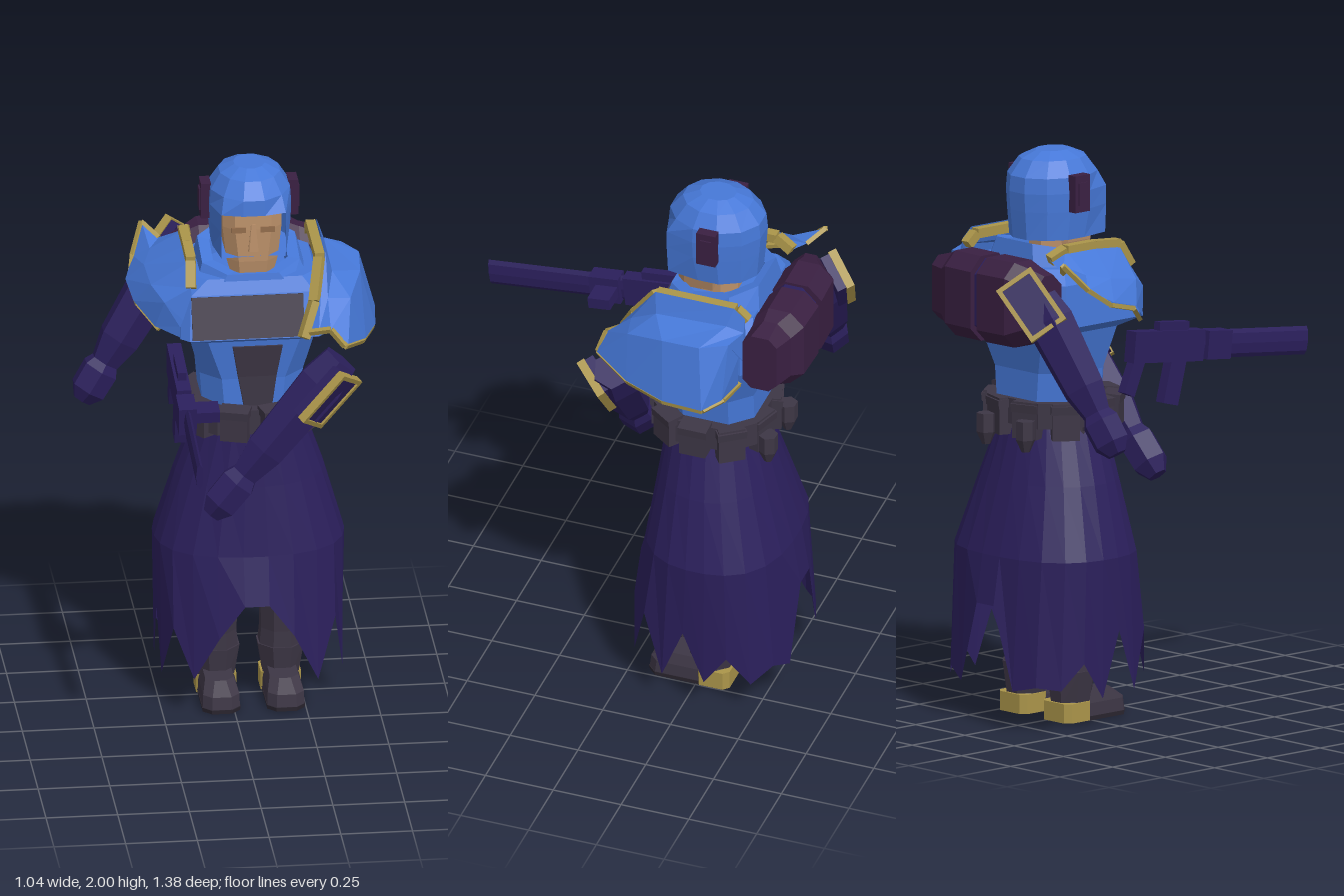
import * as THREE from 'three';

const mat = (name, color) => new THREE.MeshStandardMaterial({ name, color, flatShading: true, side: THREE.DoubleSide });
const V = (p) => new THREE.Vector3(...p);
const UP = new THREE.Vector3(0, 1, 0);

// Skin rows of points with flat faces; closed rows form a tube with end caps.
function loft(rows, { closed = true, caps = closed, skip = () => false } = {}) {
  const pos = [], n = rows[0].length;
  const tri = (...pts) => pts.forEach((p) => pos.push(...p));
  for (let r = 0; r < rows.length - 1; r++) {
    for (let i = 0; i < (closed ? n : n - 1); i++) {
      if (skip(r, i)) continue;
      const j = (i + 1) % n, a = rows[r], b = rows[r + 1];
      tri(a[i], a[j], b[j], a[i], b[j], b[i]);
    }
  }
  if (caps) {
    const a = rows[0], b = rows[rows.length - 1];
    for (let i = 1; i < n - 1; i++) tri(a[0], a[i + 1], a[i], b[0], b[i], b[i + 1]);
  }
  const g = new THREE.BufferGeometry();
  g.setAttribute('position', new THREE.Float32BufferAttribute(pos, 3));
  g.computeVertexNormals();
  return g;
}

// Elliptical ring, counter-clockwise seen from above, half a step off the front; square pushes out the diagonals.
const ring = (y, cx, cz, rx, rz, n, square = 0) => Array.from({ length: n }, (_, i) => {
  const a = (i + 0.5) / n * Math.PI * 2, k = 1 + square * Math.sin(2 * a) ** 2;
  return [cx + k * rx * Math.sin(a), y, cz + k * rz * Math.cos(a)];
});
// Rectangle with cut corners.
const rect = (y, x0, x1, z0, z1, c) => [
  [x0 + c, y, z1], [x1 - c, y, z1], [x1, y, z1 - c], [x1, y, z0 + c],
  [x1 - c, y, z0], [x0 + c, y, z0], [x0, y, z0 + c], [x0, y, z1 - c]];
const shift = (pts, dx, dy, dz) => pts.map(([x, y, z]) => [x + dx, y + dy, z + dz]);

export function createModel() {
  const blue = mat('armourBlue', 0x4678d8), purple = mat('clothPurple', 0x2b1f5c), dark = mat('darkGrey', 0x3d3645);
  const maroon = mat('packMaroon', 0x3a2042), gold = mat('trimGold', 0xab954a), skin = mat('skin', 0xbb9069);
  const shade = mat('eyeBrown', 0x946d4c), sole = mat('soleDark', 0x2b2630);
  const root = new THREE.Group();
  const add = (name, geo, m, parent = root) => {
    const mesh = new THREE.Mesh(geo, m);
    mesh.name = name;
    parent.add(mesh);
    return mesh;
  };
  const box = (name, size, at, m, parent = root) => {
    const b = add(name, new THREE.BoxGeometry(...size), m, parent);
    b.position.set(...at);
    return b;
  };
  // Tapered limb from a to b; profile holds [fraction, radius] pairs.
  const limb = (name, a, b, profile, m, n = 6) => {
    const d = V(b).sub(V(a)), len = d.length();
    const mesh = add(name, loft(profile.map(([t, r]) => ring(t * len, 0, 0, r, r, n))), m);
    mesh.position.copy(V(a));
    mesh.quaternion.setFromUnitVectors(UP, d.normalize());
  };
  // Square trim following a line of points.
  const trim = (name, pts, r) => {
    for (let i = 0; i < pts.length - 1; i++) limb(name, pts[i], pts[i + 1], [[0, r], [1, r]], gold, 4);
  };

  // Legs, boots and gold heels
  for (const [side, x] of [['right', -0.045], ['left', 0.18]]) {
    add(side + 'Leg', loft([ring(0.16, x, -0.29, 0.083, 0.085, 8), ring(0.24, x, -0.285, 0.075, 0.08, 8),
      ring(0.45, x, -0.27, 0.083, 0.09, 8), ring(1.05, x, -0.27, 0.09, 0.1, 8)]), dark);
    add(side + 'Ankle', loft([ring(0.06, x, -0.29, 0.066, 0.075, 8), ring(0.18, x, -0.29, 0.087, 0.09, 8)]), dark);
    add(side + 'Boot', loft([rect(0.015, x - 0.065, x + 0.065, -0.36, -0.07, 0.03),
      rect(0.06, x - 0.063, x + 0.063, -0.36, -0.075, 0.03), rect(0.1, x - 0.05, x + 0.05, -0.34, -0.13, 0.03)]), dark);
    add(side + 'Sole', loft([rect(0, x - 0.065, x + 0.065, -0.36, -0.07, 0.03), rect(0.015, x - 0.067, x + 0.067, -0.36, -0.068, 0.03)]), sole);
    add(side + 'Heel', loft([rect(0.002, x - 0.07, x + 0.07, -0.37, -0.245, 0.02), rect(0.07, x - 0.07, x + 0.07, -0.37, -0.245, 0.02)]), gold);
  }

  // Ragged long skirt, open at front and back; hem heights run from the front round both sides
  const half = [0.43, 0.31, 0.13, 0.34, 0.12, 0.32, 0.13, 0.24, 0.13, 0.18, 0.14, 0.43];
  const hem = [...half, ...half.map((h, i) => h + (i % 3 - 1) * 0.02 * (i > 0 && i < 11)).reverse()];
  const hemRing = ring(0, 0.07, -0.295, 0.325, 0.295, 24, 0.1).map(([x, , z], i) => [x, hem[i], z]);
  add('skirt', loft([ring(1.06, 0.07, -0.27, 0.19, 0.17, 24), ring(0.85, 0.07, -0.285, 0.262, 0.21, 24, 0.03),
    ring(0.6, 0.07, -0.303, 0.333, 0.26, 24, 0.07), hemRing], { caps: false }), purple);

  // Belt with pouches
  add('belt', loft([rect(1.05, -0.14, 0.28, -0.46, -0.08, 0.08), rect(1.14, -0.14, 0.28, -0.46, -0.08, 0.08)]), dark);
  for (let i = 0; i < 10; i++) {
    const a = (i + 0.5) / 10 * Math.PI * 2;
    const rear = Math.cos(a) < -0.5;
    const p = box('pouch', [0.095, rear ? 0.13 : 0.11, 0.055],
      [0.07 + 0.225 * Math.sin(a), rear ? 1.075 : 1.09, -0.265 + 0.195 * Math.cos(a)], dark);
    p.rotation.y = a;
    const flap = box('pouchFlap', [0.105, 0.03, 0.065], [0, 0.045, 0], dark, p);
    flap.rotation.x = 0.1;
  }
  for (const x of [-0.03, 0.17]) limb('hangingPouch', [x, 1.08, -0.49], [x, 0.97, -0.49], [[0, 0.035], [0.6, 0.035], [1, 0.015]], dark);

  // Torso armour
  add('torso', loft([rect(1.12, -0.1, 0.24, -0.44, -0.13, 0.07), rect(1.24, -0.11, 0.25, -0.44, -0.13, 0.07),
    rect(1.39, -0.15, 0.29, -0.47, -0.11, 0.06), rect(1.42, -0.19, 0.32, -0.47, -0.055, 0.03),
    rect(1.57, -0.18, 0.31, -0.47, -0.105, 0.03), rect(1.62, -0.14, 0.29, -0.46, -0.13, 0.05)]), blue);
  box('chestPanel', [0.39, 0.15, 0.009], [0.045, 1.495, -0.078], dark).rotation.x = -0.32;
  add('bellyPanel', loft([rect(1.14, 0.035, 0.135, -0.135, -0.122, 0.002), rect(1.25, 0.015, 0.15, -0.135, -0.122, 0.002),
    rect(1.37, -0.005, 0.17, -0.12, -0.105, 0.002)]), dark);
  // Collar rising towards the back
  const slope = (pts) => pts.map(([x, y, z]) => [x, y + (-0.13 - z) * 0.2, z]);
  add('collar', loft([rect(1.58, -0.12, 0.27, -0.47, -0.12, 0.07), slope(rect(1.635, -0.1, 0.24, -0.45, -0.13, 0.08)),
    slope(rect(1.63, -0.06, 0.2, -0.42, -0.16, 0.07)), rect(1.58, -0.05, 0.19, -0.4, -0.17, 0.06)], { caps: false }), blue);

  // Head: neck, face, helmet with an open front and cheek guards, ear pieces
  add('neck', loft([ring(1.56, 0.07, -0.27, 0.08, 0.09, 8), ring(1.72, 0.07, -0.27, 0.08, 0.09, 8)]), skin);
  add('face', loft([rect(1.61, 0.0, 0.14, -0.3, -0.145, 0.025), rect(1.68, -0.02, 0.16, -0.32, -0.135, 0.04),
    rect(1.8, -0.033, 0.173, -0.34, -0.135, 0.04), rect(1.89, -0.033, 0.173, -0.34, -0.14, 0.04)]), skin);
  add('nose', loft([rect(1.72, 0.052, 0.088, -0.14, -0.125, 0.004), rect(1.82, 0.062, 0.078, -0.14, -0.132, 0.002)]), skin);
  for (const s of [-1, 1]) {
    box('eye', [0.05, 0.02, 0.006], [0.07 + s * 0.05, 1.8, -0.134], shade);
    box('earPiece', [0.035, 0.13, 0.07], [0.07 + s * 0.152, 1.865, -0.285], maroon);
    box('earHub', [0.01, 0.08, 0.04], [0.07 + s * 0.17, 1.865, -0.285], maroon);
  }
  const cheeks = (pts, z) => pts.map((p, i) => (i === 1 || i === 10 ? [0.07 + (i === 1 ? 0.112 : -0.112), p[1], z] : p));
  const front = (i) => i === 10 || i === 11 || i === 0;
  add('helmet', loft([cheeks(ring(1.7, 0.07, -0.28, 0.135, 0.15, 12), -0.125), cheeks(ring(1.8, 0.07, -0.27, 0.145, 0.17, 12), -0.12),
    cheeks(ring(1.865, 0.07, -0.27, 0.147, 0.175, 12), -0.12), ring(1.92, 0.07, -0.27, 0.143, 0.17, 12),
    ring(1.975, 0.07, -0.27, 0.108, 0.125, 12), ring(2, 0.07, -0.27, 0.055, 0.065, 12)],
    { caps: true, skip: (r, i) => r < 2 && front(i) }), blue);

  // Shoulder guards: rows from inner edge to outer rim, each from back to front
  const left = [
    [[0.31, 1.45, -0.46], [0.322, 1.67, -0.46], [0.322, 1.705, -0.42], [0.322, 1.705, -0.13], [0.295, 1.58, -0.04], [0.25, 1.47, 0.02]],
    [[0.34, 1.5, -0.46], [0.335, 1.62, -0.46], [0.345, 1.64, -0.4], [0.345, 1.63, -0.14], [0.32, 1.57, -0.04], [0.28, 1.48, 0.035]],
    [[0.36, 1.53, -0.45], [0.41, 1.61, -0.43], [0.46, 1.61, -0.34], [0.45, 1.6, -0.2], [0.4, 1.56, -0.055], [0.32, 1.49, 0.05]],
    [[0.34, 1.4, -0.44], [0.45, 1.4, -0.42], [0.52, 1.39, -0.37], [0.505, 1.385, -0.22], [0.455, 1.4, -0.07], [0.38, 1.44, 0.065]]];
  const right = [
    [[-0.13, 1.66, -0.47], [-0.145, 1.69, -0.41], [-0.145, 1.69, -0.28], [-0.145, 1.68, -0.16], [-0.15, 1.6, -0.11], [-0.14, 1.45, -0.08]],
    [[-0.22, 1.63, -0.49], [-0.26, 1.62, -0.42], [-0.29, 1.6, -0.33], [-0.28, 1.58, -0.2], [-0.24, 1.54, -0.13], [-0.19, 1.46, -0.1]],
    [[-0.275, 1.67, -0.54], [-0.315, 1.58, -0.46], [-0.35, 1.53, -0.37], [-0.335, 1.5, -0.25], [-0.27, 1.44, -0.16], [-0.19, 1.42, -0.1]]];
  add('leftShoulderGuard', loft(left, { closed: false }), blue);
  add('rightShoulderGuard', loft(right.map((r) => [...r].reverse()), { closed: false }), blue);
  trim('leftShoulderBand', shift(left[0].slice(1), -0.021, -0.02, 0), 0.024);
  trim('rightShoulderBand', right[0].slice(0, 5), 0.024);
  trim('leftGuardRim', [left[0][5], left[2][5], ...shift([...left[3]].reverse(), -0.012, -0.008, 0)], 0.012);
  trim('rightGuardRim', [right[1][0], ...right[2].slice(0, 2), ...shift(right[2].slice(2, 5), 0.015, -0.012, 0)], 0.011);

  // Forearms, ending in gloved fists
  const fore = [[0, 0.07], [0.15, 0.09], [0.58, 0.077], [0.74, 0.052], [0.79, 0.069], [0.93, 0.067], [1, 0.035]];
  limb('leftForearm', [0.36, 1.36, 0.015], [-0.1, 0.82, 0.07], fore, purple);
  limb('rightForearm', [-0.17, 1.54, -0.56], [-0.49, 1.03, -0.485], fore, purple);

  // Framed bracer plates
  const bracer = (name, at, axis, normal) => {
    const g = new THREE.Group(), y = V(axis).normalize();
    const x = y.clone().cross(V(normal)).normalize();
    g.quaternion.setFromRotationMatrix(new THREE.Matrix4().makeBasis(x, y, x.clone().cross(y)));
    g.position.set(...at);
    g.name = name;
    root.add(g);
    box(name + 'Plate', [0.135, 0.21, 0.055], [0, 0, -0.005], purple, g);
    for (const s of [-1, 1]) {
      box(name + 'SideTrim', [0.016, 0.22, 0.03], [s * 0.065, 0, 0.015], gold, g);
      box(name + 'EndTrim', [0.13, 0.016, 0.03], [0, s * 0.102, 0.015], gold, g);
    }
  };
  bracer('leftBracer', [0.305, 1.25, 0.08], [-0.66, -0.75, 0.04], [0.57, -0.44, 0.7]);
  bracer('rightBracer', [-0.195, 1.53, -0.615], [-0.6, -0.76, 0.2], [-0.45, 0.42, -0.7]);

  // Backpack: two bulging halves about a centre strap, lofted sideways
  const slice = (x, lo, hi, back, c) => rect(x, -hi, -lo, back, -0.46, c);
  const pack = (name, rows, m) => { add(name, loft(rows), m).rotation.z = -Math.PI / 2; };
  pack('packLeftHalf', [slice(0.085, 1.36, 1.66, -0.645, 0.05), slice(0.22, 1.36, 1.66, -0.64, 0.05),
    slice(0.27, 1.38, 1.64, -0.61, 0.05), slice(0.345, 1.4, 1.62, -0.585, 0.03)], maroon);
  pack('packRightHalf', [slice(-0.18, 1.4, 1.62, -0.58, 0.04), slice(-0.13, 1.38, 1.64, -0.61, 0.05),
    slice(-0.08, 1.36, 1.66, -0.64, 0.05), slice(0.055, 1.36, 1.66, -0.645, 0.05)], maroon);
  pack('packStrap', [slice(0.05, 1.37, 1.65, -0.625, 0.05), slice(0.09, 1.37, 1.65, -0.625, 0.05)], purple);

  // Long gun, tipped slightly down, muzzle forward
  const gun = new THREE.Group();
  gun.name = 'gun';
  gun.position.set(-0.205, 1.285, 0.17);
  gun.rotation.x = 0.11;
  root.add(gun);
  const barrel = add('barrel', new THREE.CylinderGeometry(0.05, 0.05, 0.51, 8), purple, gun);
  barrel.rotation.x = Math.PI / 2;
  barrel.scale.x = 0.27;
  barrel.position.z = 0.25;
  box('receiver', [0.05, 0.11, 0.33], [0, 0, -0.165], purple, gun);
  box('sight', [0.03, 0.04, 0.14], [0, 0.065, -0.14], purple, gun);
  box('breech', [0.062, 0.1, 0.11], [0, 0, 0.07], purple, gun);
  box('sideLug', [0.09, 0.04, 0.08], [0.07, 0, 0.06], purple, gun);
  box('magazine', [0.04, 0.17, 0.07], [0, -0.12, -0.12], purple, gun).rotation.x = 0.15;
  box('grip', [0.035, 0.14, 0.05], [0, -0.1, -0.31], purple, gun).rotation.x = 0.3;
  return root;
}
